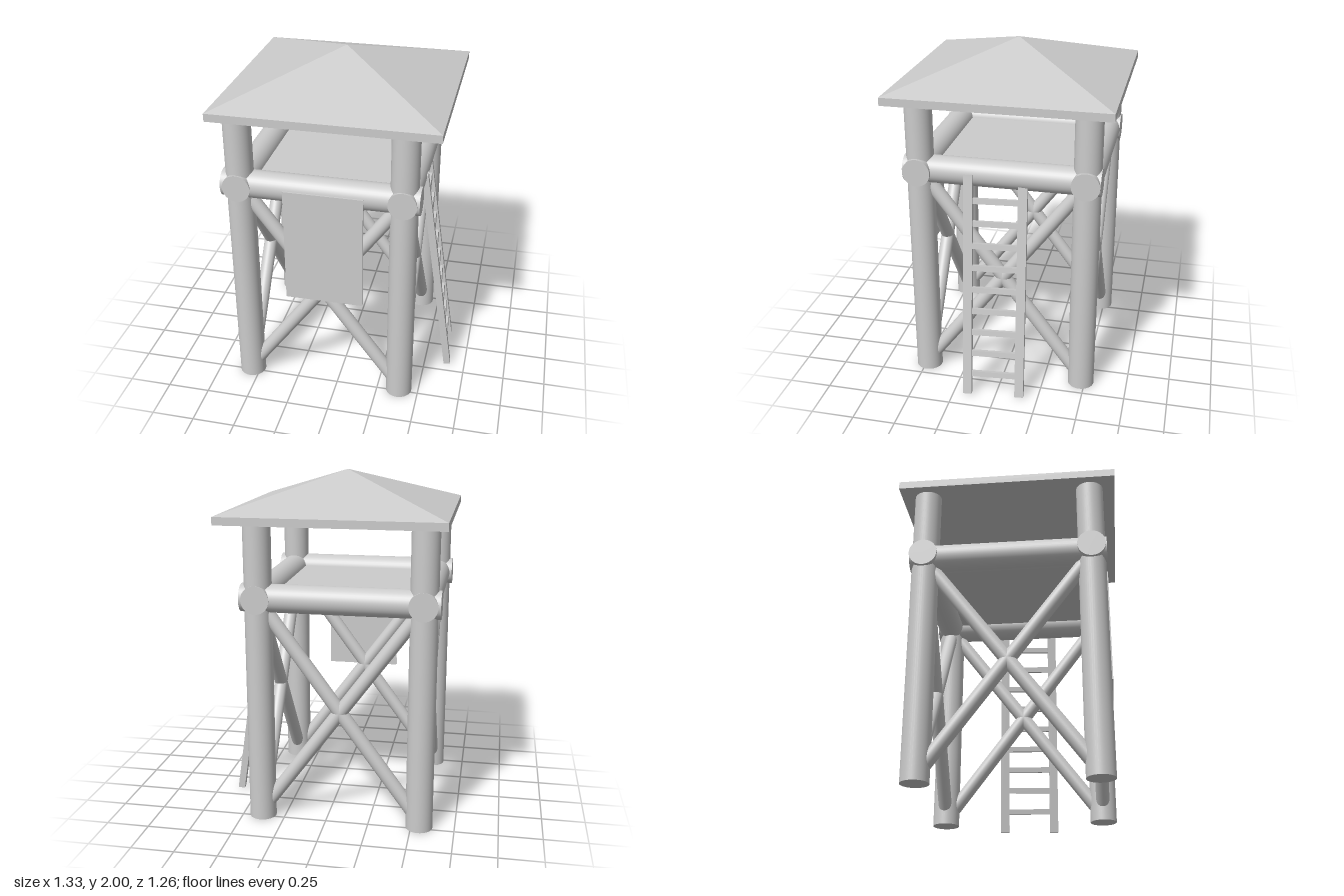
import * as THREE from 'three';

const material = new THREE.MeshStandardMaterial({ color: 0xcccccc });
const flatMaterial = new THREE.MeshStandardMaterial({ color: 0xcccccc, flatShading: true });

const X = [-0.546, 0.382]; // post centres
const Z = [-0.475, 0.48];
const MID_X = (X[0] + X[1]) / 2, MID_Z = (Z[0] + Z[1]) / 2;
const BEAM_Y = 1.325;

export function createModel() {
  const tower = new THREE.Group();
  tower.name = 'watchtower';

  function add(parent, name, geometry, x, y, z, mat = material) {
    const mesh = new THREE.Mesh(geometry, mat);
    mesh.name = name;
    mesh.position.set(x, y, z);
    parent.add(mesh);
    return mesh;
  }

  // Round log running between two points
  function log(name, a, b, radius) {
    const from = new THREE.Vector3(...a), to = new THREE.Vector3(...b);
    const dir = to.clone().sub(from);
    const mid = from.clone().add(to).multiplyScalar(0.5);
    const mesh = add(tower, name, new THREE.CylinderGeometry(radius, radius, dir.length(), 40), mid.x, mid.y, mid.z);
    mesh.quaternion.setFromUnitVectors(new THREE.Vector3(0, 1, 0), dir.normalize());
  }

  // Corner posts
  for (const x of X) for (const z of Z) log('post', [x, 0, z], [x, 1.75, z], 0.078);

  // Horizontal beams and crossed braces on all four sides
  const LOW = 0.04, HIGH = 1.31;
  for (const z of Z) {
    log('beamAcross', [-0.64, BEAM_Y, z], [0.475, BEAM_Y, z], 0.08);
    log('brace', [X[0], LOW, z], [X[1], HIGH, z], 0.04);
    log('brace', [X[1], LOW, z], [X[0], HIGH, z], 0.04);
  }
  for (const x of X) {
    log('beamAlong', [x, BEAM_Y, -0.556], [x, BEAM_Y, 0.565], 0.08);
    log('brace', [x, LOW, Z[0]], [x, HIGH, Z[1]], 0.04);
    log('brace', [x, LOW, Z[1]], [x, HIGH, Z[0]], 0.04);
  }

  // Platform floor
  add(tower, 'floor', new THREE.BoxGeometry(X[1] - X[0], 0.02, Z[1] - Z[0]), MID_X, 1.33, MID_Z);

  // Hanging front panel
  add(tower, 'frontPanel', new THREE.BoxGeometry(0.45, 0.69, 0.014), -0.055, 0.995, 0.562);

  // Roof: square slab with a pyramid on top
  const SIDE = 1.256, ROOF_X = -0.043;
  add(tower, 'roofSlab', new THREE.BoxGeometry(SIDE, 0.045, SIDE), ROOF_X, 1.7675, 0);
  const pyramid = new THREE.ConeGeometry(SIDE / Math.SQRT2, 0.21, 4, 1, true).rotateY(Math.PI / 4);
  add(tower, 'roofPyramid', pyramid, ROOF_X, 1.895, 0, flatMaterial);

  // Leaning ladder, turned slightly
  const ladder = new THREE.Group();
  ladder.name = 'ladder';
  ladder.position.set(0.626, 0.006, 0.013);
  ladder.rotation.set(0, THREE.MathUtils.degToRad(5), THREE.MathUtils.degToRad(8.2), 'YXZ');
  const LENGTH = 1.345;
  for (const side of [-1, 1])
    add(ladder, 'ladderRail', new THREE.BoxGeometry(0.04, LENGTH, 0.052), 0, LENGTH / 2, side * 0.154);
  for (let i = 0; i < 9; i++)
    add(ladder, 'ladderRung', new THREE.BoxGeometry(0.022, 0.032, 0.28), 0, 0.128 + i * 0.133, 0);
  tower.add(ladder);

  return tower;
}
